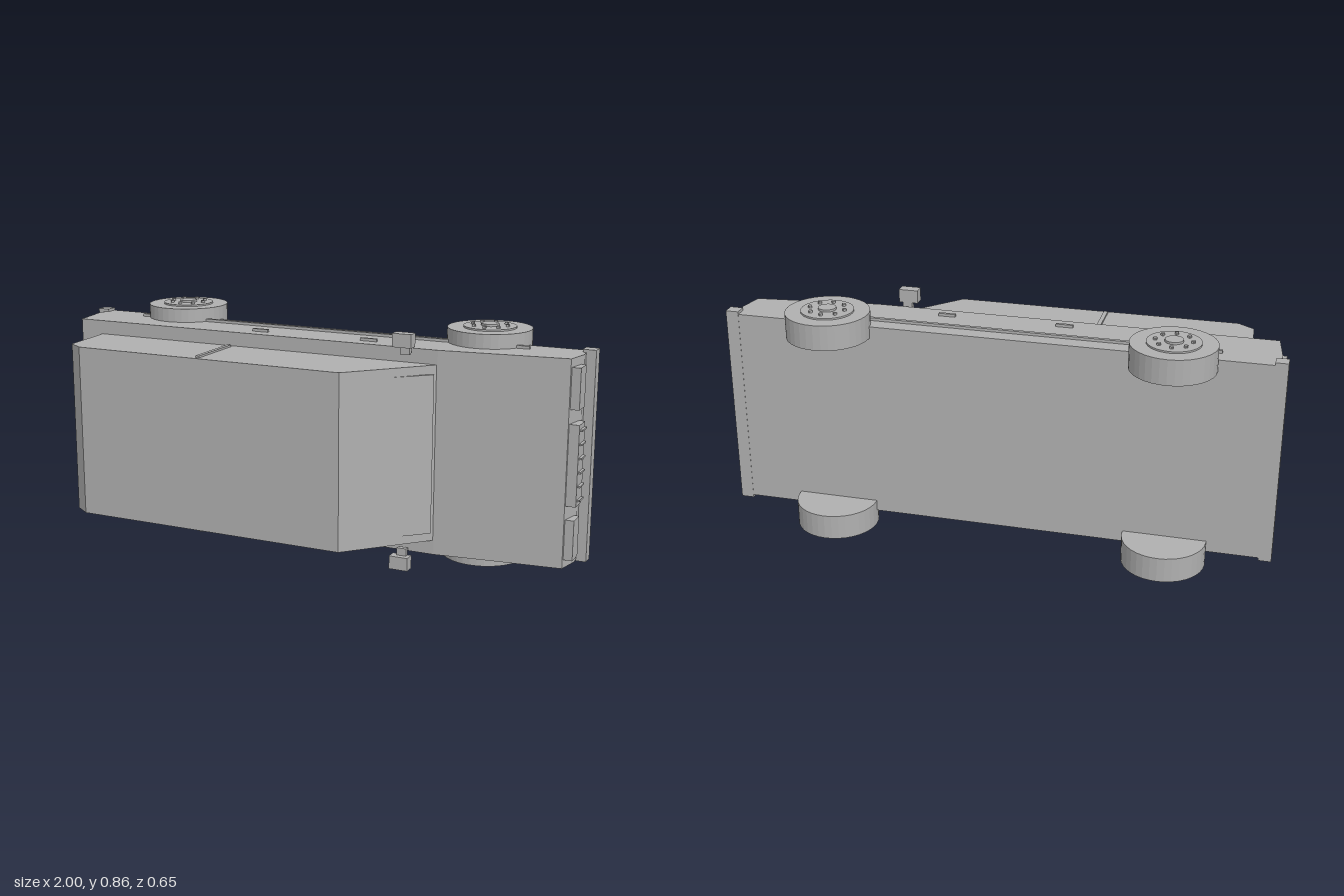
import * as THREE from 'three';

// The car rests on its side: nose toward +x, roof toward +z, width along y.
export function createModel() {
  const model = new THREE.Group();
  model.name = 'carOnSide';
  const grey = new THREE.MeshStandardMaterial({ color: 0xb0b0b0, flatShading: true });
  grey.name = 'plain grey';
  const MID = 0.434; // middle of the car's width

  const add = (name, geometry, parent = model) => {
    const mesh = new THREE.Mesh(geometry, grey);
    mesh.name = name;
    parent.add(mesh);
    return mesh;
  };

  // Box given by its limits on each axis
  const box = (name, x0, x1, y0, y1, z0, z1) =>
    add(name, new THREE.BoxGeometry(x1 - x0, y1 - y0, z1 - z0))
      .position.set((x0 + x1) / 2, (y0 + y1) / 2, (z0 + z1) / 2);

  // The same box on both flanks of the car
  const boxPair = (name, x0, x1, y0, y1, z0, z1) => {
    box(name + 'Upper', x0, x1, y0, y1, z0, z1);
    box(name + 'Lower', x0, x1, 2 * MID - y1, 2 * MID - y0, z0, z1);
  };

  // Side profile in (x, z), extruded across the width
  const profile = (name, points, y0, y1) => {
    const shape = new THREE.Shape(points.map(([x, z]) => new THREE.Vector2(x, z)));
    const geometry = new THREE.ExtrudeGeometry(shape, { depth: y1 - y0, bevelEnabled: false });
    geometry.rotateX(Math.PI / 2).translate(0, y1, 0);
    add(name, geometry);
  };

  // Body shell, cabin and windscreen
  profile('body', [
    [-0.96, -0.162], [0.96, -0.162], [0.97, -0.08], [0.95, 0.01], [0.5, 0.063], [-0.955, 0.063], [-0.975, -0.08],
  ], 0.067, 0.801);
  profile('cabin', [
    [-0.864, 0.055], [0.504, 0.055], [0.25, 0.325], [-0.79, 0.325], [-0.85, 0.283],
  ], 0.119, 0.75);
  profile('windscreen', [[0.375, 0.18], [0.475, 0.081], [0.495, 0.081], [0.378, 0.19]], 0.15, 0.719);

  // Flank details
  boxPair('doorPillar', -0.31, -0.295, 0.74, 0.757, 0.081, 0.31);
  boxPair('sillTrim', -0.775, 0.775, 0.79, 0.811, -0.102, -0.089);
  for (const x of [-0.21, 0.22]) boxPair('doorHandle', x - 0.031, x + 0.031, 0.79, 0.811, 0.002, 0.013);
  boxPair('mirrorArm', 0.375, 0.41, 0.783, 0.826, 0.081, 0.099);
  boxPair('mirror', 0.354, 0.424, 0.81, 0.858, 0.081, 0.12);

  // Bumpers and lamps
  box('frontBumper', 0.953, 1.0, 0.057, 0.811, -0.163, -0.119);
  box('rearBumper', -1.0, -0.955, 0.057, 0.811, -0.163, -0.119);
  boxPair('headlight', 0.94, 0.983, 0.627, 0.771, -0.062, 0.003);
  boxPair('taillight', -0.986, -0.95, 0.627, 0.771, -0.062, 0.003);

  // Grille with slats
  box('grille', 0.94, 0.987, 0.29, 0.577, -0.064, 0.005);
  for (let i = 0; i < 6; i++) {
    const y = 0.311 + i * 0.0492;
    box('grilleSlat', 0.97, 0.996, y - 0.003, y + 0.003, -0.056, -0.004);
  }

  // Wheels: tyre, rim, hub and a ring of eight nuts
  const disc = (name, parent, radius, y0, y1, sides, x = 0, z = 0) =>
    add(name, new THREE.CylinderGeometry(radius, radius, y1 - y0, sides), parent)
      .position.set(x, (y0 + y1) / 2, z);
  for (const x of [-0.62, 0.605]) {
    for (const side of [1, -1]) {
      const wheel = new THREE.Group();
      wheel.name = (x > 0 ? 'front' : 'rear') + 'Wheel' + (side > 0 ? 'Upper' : 'Lower');
      wheel.position.set(x, MID, -0.173);
      if (side < 0) wheel.rotation.x = Math.PI;
      disc('tyre', wheel, 0.15, 0.326, 0.418, 36);
      disc('rim', wheel, 0.094, 0.41, 0.424, 36);
      disc('hub', wheel, 0.032, 0.42, 0.432, 20);
      for (let i = 0; i < 8; i++) {
        const a = (i * Math.PI) / 4;
        disc('wheelNut', wheel, 0.007, 0.42, 0.432, 10, 0.064 * Math.cos(a), 0.064 * Math.sin(a));
      }
      model.add(wheel);
    }
  }
  return model;
}
